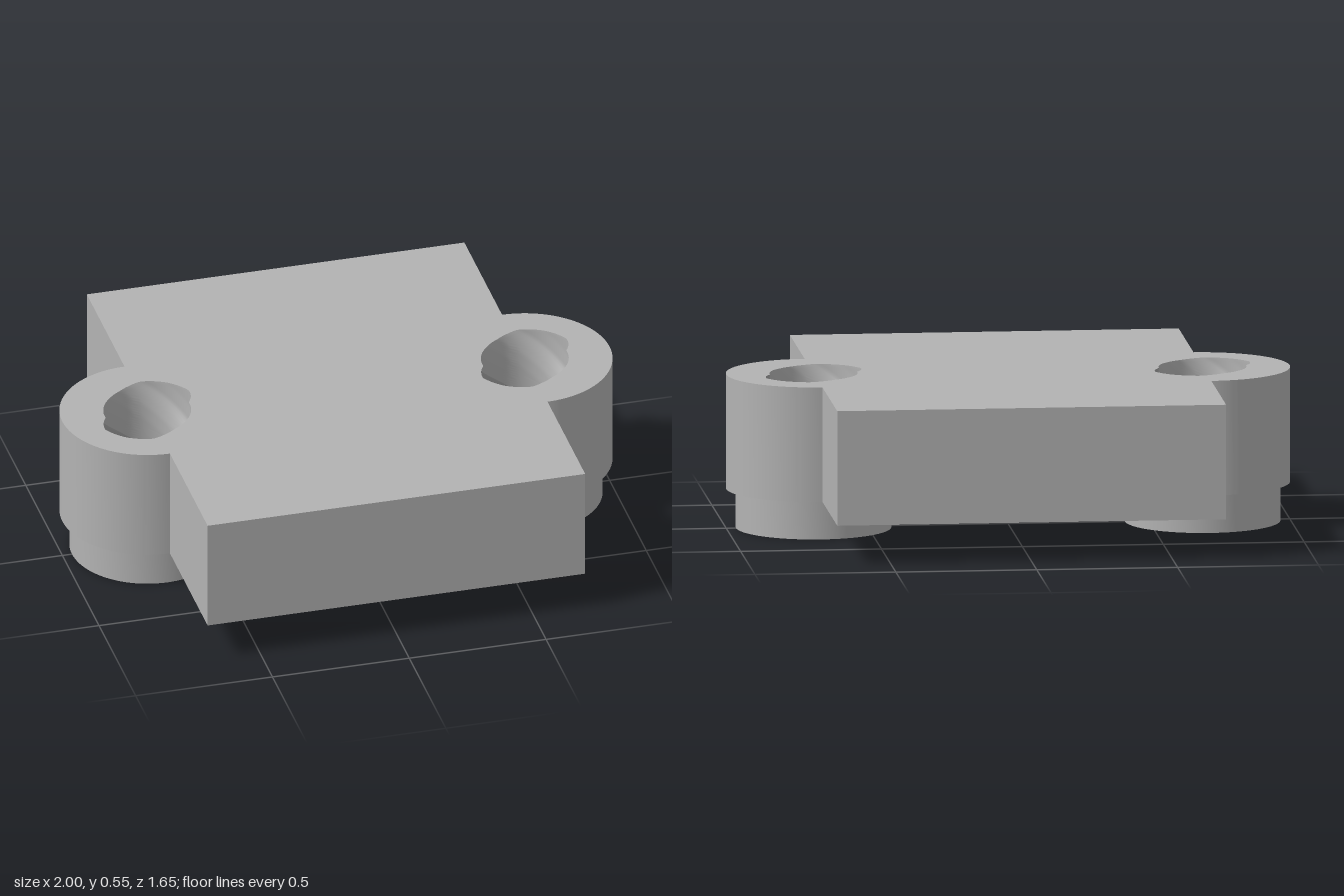
import * as THREE from 'three';
import { toCreasedNormals } from 'three/addons/utils/BufferGeometryUtils.js';

const BASE = 0.14, TOP = 0.55, LUG_X = 0.69, LUG_R = 0.31, BORE_R = 0.206;
const TWIST = Math.PI;

function circle(x, r, Type = THREE.Shape) {
  const c = new Type();
  c.absarc(x, 0, r, 0, Math.PI * 2, false);
  return c;
}

// Extrude a plan shape upwards from height y
function rise(shape, y, height, steps = 1) {
  const g = new THREE.ExtrudeGeometry(shape, { depth: height, steps, bevelEnabled: false, curveSegments: 48 });
  g.rotateX(-Math.PI / 2);
  g.translate(0, y, 0);
  return g;
}

// Two-lobed opening: radius at each angle, repeated after half a turn
function lobedHole() {
  const keys = [[5, 0.156], [16, 0.18], [27, 0.2], [55, 0.202], [82, 0.198], [97, 0.177], [112, 0.162], [135, 0.155], [160, 0.155], [185, 0.156]];
  const pts = [];
  for (let i = 0; i < 96; i++) {
    const deg = 5 + i * 3.75;
    const d = 5 + ((deg - 5) % 180);
    let k = 0;
    while (k < keys.length - 2 && d > keys[k + 1][0]) k++;
    const [a, ra] = keys[k], [b, rb] = keys[k + 1];
    const r = ra + (rb - ra) * (d - a) / (b - a);
    const t = THREE.MathUtils.degToRad(deg);
    pts.push(new THREE.Vector2(r * Math.cos(t), r * Math.sin(t)));
  }
  return new THREE.Path(pts);
}

export function createModel() {
  const group = new THREE.Group();
  const grey = new THREE.MeshStandardMaterial({ color: 0xb3b3b3 });
  grey.name = 'grey';
  const add = (geometry, name, x = 0) => {
    const mesh = new THREE.Mesh(toCreasedNormals(geometry, 0.6), grey);
    mesh.name = name;
    mesh.position.x = x;
    group.add(mesh);
  };

  // Block with a round lug on each side
  const plan = new THREE.Shape();
  plan.moveTo(-LUG_X, -0.825);
  plan.lineTo(LUG_X, -0.825);
  plan.lineTo(LUG_X, -LUG_R);
  plan.absarc(LUG_X, 0, LUG_R, -Math.PI / 2, Math.PI / 2, false);
  plan.lineTo(LUG_X, 0.825);
  plan.lineTo(-LUG_X, 0.825);
  plan.lineTo(-LUG_X, LUG_R);
  plan.absarc(-LUG_X, 0, LUG_R, Math.PI / 2, Math.PI * 1.5, false);
  plan.closePath();
  plan.holes.push(circle(LUG_X, BORE_R, THREE.Path), circle(-LUG_X, BORE_R, THREE.Path));
  add(rise(plan, BASE, TOP - BASE), 'body');

  // Collar under a lug
  const collar = circle(0, 0.275);
  collar.holes.push(circle(0, BORE_R, THREE.Path));

  // Sleeve inside a lug, its lobed bore twisted along the height
  const sleevePlan = circle(0, BORE_R);
  sleevePlan.holes.push(lobedHole());
  const sleeve = rise(sleevePlan, BASE, TOP - BASE, 40);
  const p = sleeve.attributes.position;
  const v = new THREE.Vector3(), up = new THREE.Vector3(0, 1, 0);
  for (let i = 0; i < p.count; i++) {
    v.fromBufferAttribute(p, i);
    v.applyAxisAngle(up, TWIST * (v.y - TOP) / (TOP - BASE));
    p.setXYZ(i, v.x, v.y, v.z);
  }

  for (const [side, x] of [['left', LUG_X], ['right', -LUG_X]]) {
    add(rise(collar, 0, BASE), side + 'Collar', x);
    add(sleeve, side + 'TwistedSleeve', x);
  }
  return group;
}
